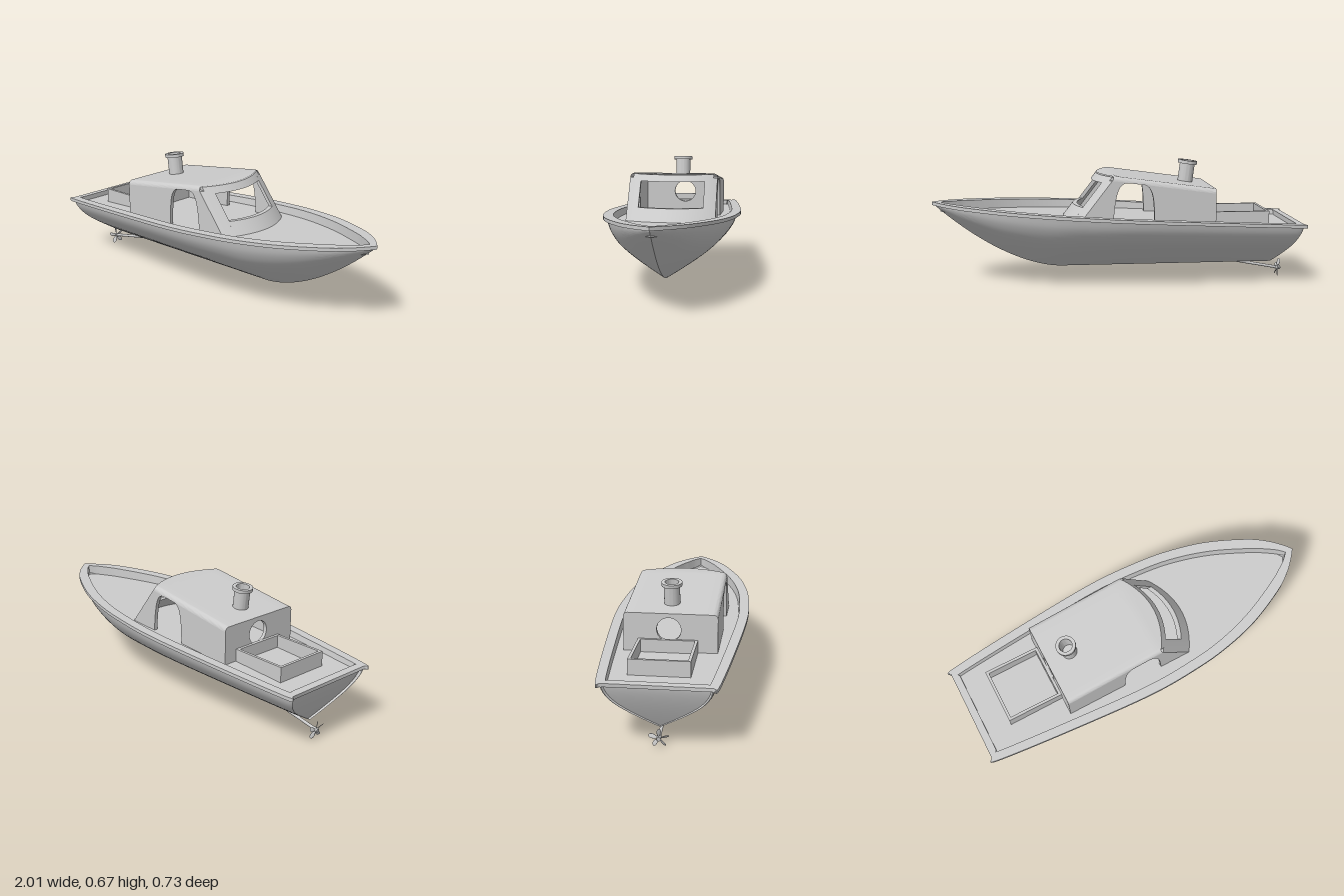
import * as THREE from 'three';
import { toCreasedNormals } from 'three/addons/utils/BufferGeometryUtils.js';

const mat = new THREE.MeshStandardMaterial({ color: 0xcccccc, side: THREE.DoubleSide });

function add(parent, name, geo, crease) {
  const mesh = new THREE.Mesh(crease ? toCreasedNormals(geo, crease) : geo, mat);
  mesh.name = name;
  parent.add(mesh);
  return mesh;
}

// Skin a list of equal-length rings of [x, y, z]
function loft(rings, closed) {
  const n = rings[0].length, index = [];
  for (let i = 0; i < rings.length - 1; i++) {
    for (let j = 0; j < (closed ? n : n - 1); j++) {
      const a = i * n + j, b = i * n + (j + 1) % n;
      index.push(a, b, a + n, b, b + n, a + n);
    }
  }
  const geo = new THREE.BufferGeometry();
  geo.setAttribute('position', new THREE.Float32BufferAttribute(rings.flat(2), 3));
  geo.setIndex(index);
  geo.computeVertexNormals();
  return geo;
}

function warp(geo, rule) {
  const p = geo.attributes.position, v = new THREE.Vector3();
  for (let i = 0; i < p.count; i++) {
    rule(v.fromBufferAttribute(p, i));
    p.setXYZ(i, v.x, v.y, v.z);
  }
  geo.computeVertexNormals();
  return geo;
}

// Hull lines
const sheer = x => 0.397 + 0.058 * x;
const deckY = x => 0.357 + 0.045 * x;
const keel = x => 0.085 + 0.35 * Math.pow(Math.max(0, (x - 0.3) / 0.685), 1.75);
const spline = pts => new THREE.SplineCurve(pts.map(p => new THREE.Vector2(...p)));
const outerSide = spline([[-1, 0.268], [-0.98, 0.288], [-0.6, 0.327], [-0.1, 0.363], [0.2, 0.353],
  [0.4, 0.325], [0.6, 0.27], [0.8, 0.178], [0.9, 0.11], [0.965, 0.045], [1, 0]]).getPoints(80);
const innerSide = spline([[-0.96, 0.235], [-0.945, 0.246], [-0.6, 0.277], [-0.1, 0.311], [0.2, 0.3],
  [0.4, 0.27], [0.6, 0.208], [0.8, 0.113], [0.87, 0.07], [0.92, 0.035], [0.955, 0]]).getPoints(80);
const hullSide = outerSide.map(p => new THREE.Vector2(p.x * 0.9825 - 0.0005, p.y * 0.945));
const section = spline([[0, 0], [0.26, 0.17], [0.58, 0.4], [0.8, 0.6], [0.94, 0.81], [1, 1]]).getPoints(20);

// Closed plan outline, both sides, at a height given by x
const outline = (side, yAt, k = 1) => [
  ...side.map(p => [p.x, yAt(p.x), p.y * k]),
  ...side.slice(0, -1).reverse().map(p => [p.x, yAt(p.x), -p.y * k])];

// Cabin lines
const W = 0.24, BACK = -0.52;
const roofY = x => Math.min(0.535 + 0.135 * (x - BACK), 0.608);
const frontX = (y, z) => 0.205 - 0.77 * (y - 0.37) + 0.082 * (1 - (z / W) ** 2);

function buildHull(boat) {
  const station = (p, k) => {
    const point = (q, s) => {
      const x = p.x + 0.11 * Math.pow(1 - Math.min(1, q.y), 1.3) * (0.982 - p.x) / 1.965;
      const lo = Math.min(keel(x), sheer(x) - 0.015);
      return [x, lo + (sheer(x) - 0.015 - lo) * q.y, s * k * p.y * q.x];
    };
    return [...section.slice(1).reverse().map(q => point(q, -1)), ...section.map(q => point(q, 1))];
  };
  // The first station is collapsed to the centre line, which closes the transom
  add(boat, 'hull', loft([station(hullSide[0], 0), ...hullSide.map(p => station(p, 1))], false), 0.6);

  const top = x => sheer(x), under = x => sheer(x) - 0.018;
  add(boat, 'gunwale', loft([
    outline(hullSide, under, 0.98), outline(outerSide, under), outline(outerSide, top),
    outline(innerSide, top), outline(innerSide, deckY, 0.98)], true), 0.6);

  const deckShape = new THREE.Shape(outline(innerSide, deckY, 0.98).map(p => new THREE.Vector2(p[0], -p[2])));
  const deck = new THREE.ShapeGeometry(deckShape).rotateX(-Math.PI / 2);
  add(boat, 'deck', warp(deck, v => { v.y = deckY(v.x); }));
}

function buildCabin(boat) {
  const cabin = new THREE.Group();
  cabin.name = 'cabin';
  boat.add(cabin);

  // Side walls with an arched doorway
  const wall = new THREE.Shape();
  wall.moveTo(BACK, 0.31);
  wall.lineTo(-0.19, 0.31);
  wall.lineTo(-0.185, 0.43);
  wall.bezierCurveTo(-0.18, 0.54, -0.16, 0.565, -0.1, 0.569);
  wall.lineTo(-0.04, 0.572);
  wall.bezierCurveTo(0.01, 0.572, 0.025, 0.5, 0.035, 0.33);
  wall.lineTo(frontX(0.35, W), 0.35);
  wall.lineTo(frontX(0.583, W), 0.583);
  wall.lineTo(0.02, 0.583);
  wall.lineTo(BACK, roofY(BACK) - 0.025);
  for (const z of [W - 0.02, -W]) {
    const geo = new THREE.ExtrudeGeometry(wall, { depth: 0.02, bevelEnabled: false, curveSegments: 12 });
    add(cabin, 'sideWall', geo.translate(0, 0, z), 0.5);
  }

  // Back wall with a round opening
  const back = new THREE.Shape();
  back.moveTo(-W, 0.31);
  back.lineTo(W, 0.31);
  back.lineTo(W, 0.51);
  back.quadraticCurveTo(W, 0.534, W - 0.025, 0.534);
  back.lineTo(-W + 0.025, 0.534);
  back.quadraticCurveTo(-W, 0.534, -W, 0.51);
  back.holes.push(new THREE.Path().absarc(-0.008, 0.45, 0.062, 0, Math.PI * 2, true));
  const backGeo = new THREE.ExtrudeGeometry(back, { depth: 0.02, bevelEnabled: false, curveSegments: 24 });
  add(cabin, 'backWall', backGeo.rotateY(-Math.PI / 2).translate(BACK + 0.02, 0, 0), 0.5);

  // Roof with rounded edges, ending on the curved front
  const profile = [], r = 0.025;
  for (let i = 0; i <= 6; i++) {
    const a = i / 6 * Math.PI / 2;
    profile.push([W - r + r * Math.cos(a), r * Math.sin(a) - r]);
  }
  for (let i = 1; i < 8; i++) profile.push([(W - r) * (1 - i / 4), 0]);
  for (let i = 6; i >= 0; i--) profile.push([-profile[i][0], profile[i][1]]);
  for (let i = 0; i <= 8; i++) profile.push([(W - 0.02) * (i / 4 - 1), -0.022]);
  const rings = [];
  for (let i = 0; i <= 24; i++) {
    rings.push(profile.map(([z, dy]) => {
      const x = THREE.MathUtils.lerp(BACK, frontX(0.608 + dy, z), i / 24);
      return [x, roofY(x) + dy, z];
    }));
  }
  add(cabin, 'roof', loft(rings, true), 0.6);

  // Curved, raked windscreen frame
  const bar = (name, z0, z1, y0, y1) => {
    const geo = new THREE.BoxGeometry(0.025, y1 - y0, z1 - z0, 1, 1, 16);
    geo.translate(-0.0125, (y0 + y1) / 2, (z0 + z1) / 2);
    add(cabin, name, warp(geo, v => { v.x += frontX(v.y, v.z); }));
  };
  bar('windscreenHeader', -0.22, 0.22, 0.569, 0.604);
  bar('windscreenSill', -0.18, 0.18, 0.35, 0.437);
  bar('windscreenPost', 0.174, W, 0.35, 0.584);
  bar('windscreenPost', -W, -0.174, 0.35, 0.584);
}

function buildFittings(boat) {
  // Hollow funnel, square to the sloping roof
  const funnelProfile = [[0.041, -0.02], [0.041, 0.1], [0.053, 0.1], [0.053, 0.118],
    [0.035, 0.118], [0.035, 0.01], [0, 0.01]].map(p => new THREE.Vector2(...p));
  const funnel = add(boat, 'funnel', new THREE.LatheGeometry(funnelProfile, 40), 0.6);
  funnel.position.set(-0.388, 0.55, -0.007);
  funnel.rotation.z = 0.13;

  // Open cargo box on the aft deck
  const box = new THREE.Shape([[-0.83, -0.14], [-0.515, -0.14], [-0.515, 0.165], [-0.83, 0.165]]
    .map(p => new THREE.Vector2(...p)));
  box.holes.push(new THREE.Path([[-0.815, -0.125], [-0.815, 0.15], [-0.535, 0.15], [-0.535, -0.125]]
    .map(p => new THREE.Vector2(...p))));
  const boxGeo = new THREE.ExtrudeGeometry(box, { depth: 0.1, bevelEnabled: false });
  add(boat, 'cargoBox', boxGeo.rotateX(-Math.PI / 2).translate(0, 0.3, 0));

  // Propeller on its inclined shaft
  const drive = new THREE.Group();
  drive.name = 'propeller';
  drive.position.set(-0.93, 0.047, 0);
  drive.rotation.z = 0.185;
  boat.add(drive);
  add(drive, 'shaft', new THREE.CylinderGeometry(0.008, 0.008, 0.27, 16).rotateZ(Math.PI / 2).translate(0.135, 0, 0));
  add(drive, 'hub', new THREE.CylinderGeometry(0.011, 0.011, 0.024, 16).rotateZ(Math.PI / 2));
  for (let i = 0; i < 5; i++) {
    const geo = new THREE.SphereGeometry(1, 16, 10);
    warp(geo, v => {
      v.set(v.x * 0.002, 0.029 + v.y * 0.023, v.z * 0.011 * (1 + 0.35 * v.y));
    });
    geo.rotateY(0.6).rotateX(i * Math.PI * 2 / 5);
    add(drive, 'blade', geo);
  }
}

export function createModel() {
  const boat = new THREE.Group();
  boat.name = 'boat';
  buildHull(boat);
  buildCabin(boat);
  buildFittings(boat);
  return boat;
}
